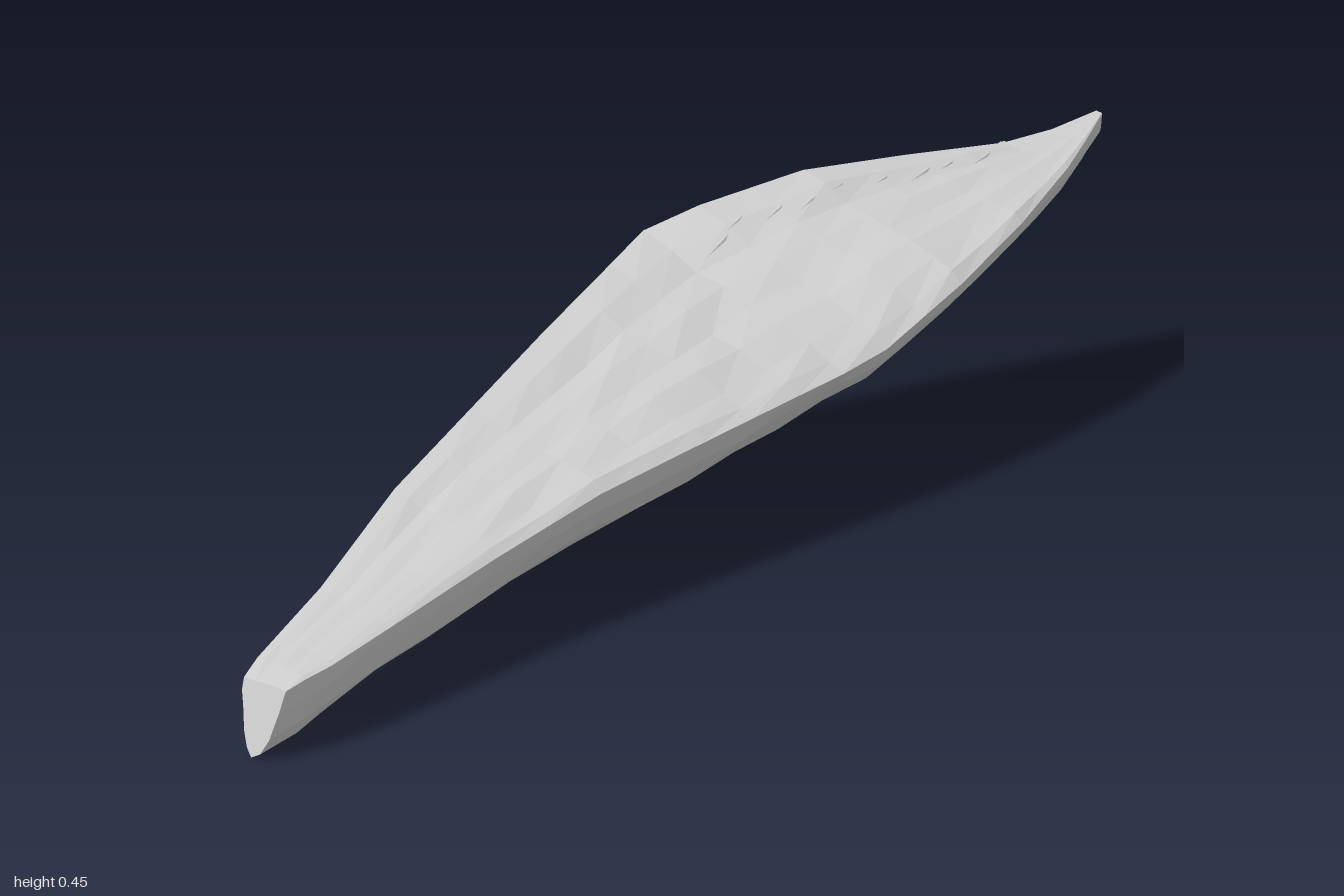
import * as THREE from 'three';

// Stations along the length: z, left edge x/y, right edge x/y, lowest y
const STATIONS = [
  [0.98, 0.22, 0.08, 0.308, 0.088, 0.0],
  [0.9, 0.18, 0.1, 0.302, 0.1, 0.022],
  [0.8, 0.13, 0.125, 0.28, 0.115, 0.04],
  [0.6, 0.01, 0.18, 0.235, 0.145, 0.06],
  [0.4, -0.085, 0.23, 0.203, 0.178, 0.08],
  [0.2, -0.18, 0.28, 0.18, 0.2, 0.1],
  [0, -0.27, 0.33, 0.155, 0.22, 0.125],
  [-0.1, -0.31, 0.36, 0.143, 0.23, 0.142],
  [-0.2, -0.292, 0.388, 0.13, 0.245, 0.16],
  [-0.4, -0.27, 0.418, 0.087, 0.3, 0.22],
  [-0.6, -0.242, 0.418, 0.025, 0.352, 0.28],
  [-0.8, -0.206, 0.416, -0.06, 0.398, 0.34],
  [-0.9, -0.188, 0.428, -0.112, 0.42, 0.37],
  [-1, -0.178, 0.448, -0.165, 0.445, 0.41],
];

// Underside: fraction across the width, fraction of the depth
const UNDERSIDE = [[0.97, 0.3], [0.9, 0.68], [0.78, 0.9], [0.6, 1], [0.45, 0.9], [0.3, 0.72], [0.14, 0.4], [0.02, 0.18]];
// Upper face: fraction across the width, groove depth
const UPPER = [[0, 0], [0.15, 0.003], [0.28, -0.003], [0.42, 0.006], [0.56, 0.004], [0.7, 0.012], [0.84, 0.01], [0.94, 0.008], [1, 0]];

const lerp = THREE.MathUtils.lerp;

function seeded(seed) {
  return () => (seed = (seed * 16807) % 2147483647) / 2147483647;
}

// Linear lookup in the station table
function stationAt(z) {
  let i = 0;
  while (i < STATIONS.length - 2 && z < STATIONS[i + 1][0]) i++;
  const a = STATIONS[i], b = STATIONS[i + 1];
  const t = (z - a[0]) / (b[0] - a[0]);
  return a.map((v, k) => lerp(v, b[k], t));
}

// One closed ring, running left to right over the top and back underneath
function ring(z, rand) {
  const [, lx, ly, rx, ry, low] = stationAt(z);
  const width = rx - lx;
  const rough = Math.min(1, width / 0.3) * (z > 0.95 ? 0.3 : 1);
  const points = UPPER.map(([t, bulge]) => new THREE.Vector3(
    lerp(lx, rx, t),
    lerp(ly, ry, t) + rough * (bulge + (t > 0 && t < 1 ? (rand() - 0.5) * 0.009 : 0)),
    z));
  for (const [t, d] of UNDERSIDE) {
    const edge = lerp(ly, ry, t);
    const y = lerp(edge, low, d) + (d < 1 ? (rand() - 0.5) * 0.01 * rough : 0);
    points.push(new THREE.Vector3(lerp(lx, rx, t), y, z));
  }
  // The blunt end leans back towards its top
  if (z > 0.975) points.forEach(p => { p.z = 1 - 0.35 * p.y; });
  return points;
}

function loft(rings) {
  const n = rings[0].length;
  const pos = [], index = [];
  rings.forEach(r => r.forEach(p => pos.push(p.x, p.y, p.z)));
  for (let i = 0; i < rings.length - 1; i++) {
    for (let j = 0; j < n; j++) {
      const a = i * n + j, b = i * n + (j + 1) % n;
      index.push(a, b, a + n, b, b + n, a + n);
    }
  }
  // End caps fan out from the ring centres
  [0, rings.length - 1].forEach((i, end) => {
    const c = rings[i].reduce((s, p) => s.add(p), new THREE.Vector3()).divideScalar(n);
    const centre = pos.length / 3;
    pos.push(c.x, c.y, c.z);
    for (let j = 0; j < n; j++) {
      const a = i * n + j, b = i * n + (j + 1) % n;
      if (end) index.push(centre, a, b);
      else index.push(centre, b, a);
    }
  });
  const g = new THREE.BufferGeometry();
  g.setAttribute('position', new THREE.Float32BufferAttribute(pos, 3));
  g.setIndex(index);
  g.computeVertexNormals();
  return g;
}

export function createModel() {
  const group = new THREE.Group();
  group.name = 'woodSplinter';
  const material = new THREE.MeshStandardMaterial({ color: 0xcccccc, flatShading: true, side: THREE.DoubleSide });
  const rand = seeded(71);

  // Main body: a wedge with one blunt end and one long broken point
  const levels = [0.98, 0.94];
  for (let z = 0.9; z > -0.99; z -= 0.1) levels.push(z);
  levels.push(-1);
  const body = new THREE.Mesh(loft(levels.map(z => ring(z, rand))), material);
  body.name = 'body';
  group.add(body);

  // Thin slivers lying along the grain beside the broken edge
  const slivers = new THREE.Group();
  slivers.name = 'slivers';
  for (let i = 0; i < 9; i++) {
    const z = -0.18 - i * 0.07;
    const [, lx, ly, rx, ry] = stationAt(z);
    const t = 0.1 + rand() * 0.15;
    const sliver = new THREE.Mesh(new THREE.ConeGeometry(0.008, 0.12 + rand() * 0.06, 4), material);
    sliver.name = 'sliver';
    sliver.scale.z = 0.6;
    sliver.position.set(lerp(lx, rx, t), lerp(ly, ry, t) - 0.001, z);
    const ahead = stationAt(z + 0.08);
    const dir = new THREE.Vector3(0.035, lerp(ahead[2], ahead[4], t) - lerp(ly, ry, t), 0.08).normalize();
    sliver.quaternion.setFromUnitVectors(new THREE.Vector3(0, 1, 0), dir);
    slivers.add(sliver);
  }
  group.add(slivers);
  return group;
}
